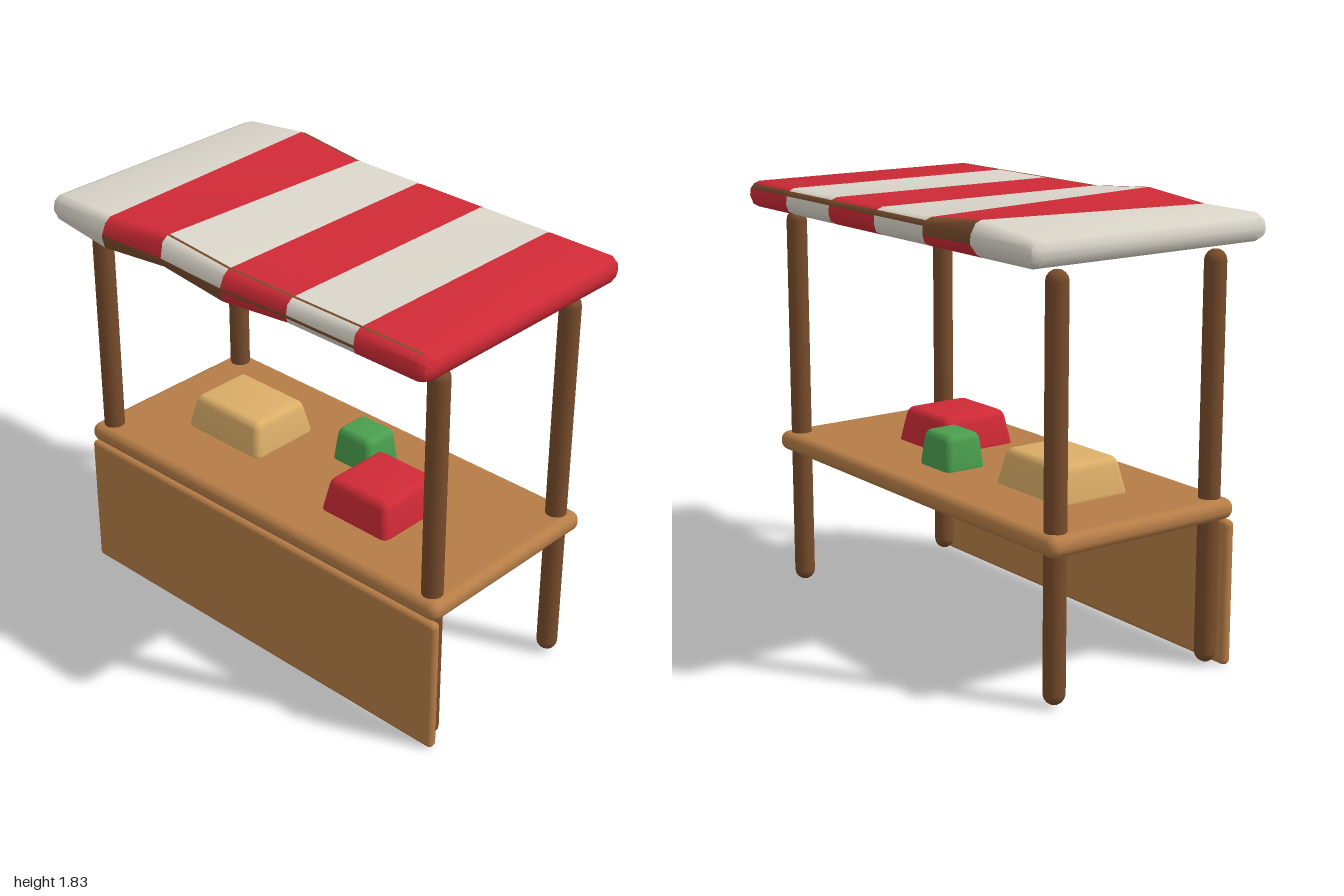
import * as THREE from 'three';
import { toCreasedNormals } from 'three/addons/utils/BufferGeometryUtils.js';
import { RoundedBoxGeometry } from 'three/addons/geometries/RoundedBoxGeometry.js';

const mat = (name, color) => {
  const m = new THREE.MeshStandardMaterial({ color });
  m.name = name;
  return m;
};

// Canopy cross-section as [z, y, corner]: running down the back, along the bottom, up the front
const PROFILE = [
  [-0.53, 1.8, 'topBack'], [-0.555, 1.79, 'topBack'], [-0.568, 1.77, 'midBack'],
  [-0.57, 1.735, 'midBack'], [-0.56, 1.705, ''], [-0.53, 1.69, ''],
  [0.53, 1.69, 'bottomFront'], [0.56, 1.705, 'bottomFront'], [0.57, 1.728, 'midFront'],
  [0.57, 1.74, 'midFront'], [0.562, 1.78, 'topFront'], [0.535, 1.8, 'topFront'], [0.522, 1.8, 'topFront'],
];

// Sag and lift of the cloth at each stripe seam, as [dz, dy] per corner
const SEAMS = [
  {},
  { topBack: [-0.01, 0.03], midBack: [-0.02, 0.01], bottomFront: [0.01, -0.028], midFront: [0.012, -0.005] },
  { topFront: [0, 0.029], midFront: [0.005, 0.004] },
  { bottomFront: [0.01, -0.028], midFront: [0.012, -0.004] },
  {}, {}, {},
];

// Profile segments where the timber frame shows, per stripe
const FRAME_SEGMENTS = [[], [0, 1, 2, 6, 7, 8], [1, 6, 7, 8, 11], [1, 8, 11], [1, 8, 11], [1, 11]];

function ring(x, seam, inset = 0) {
  return PROFILE.map(([z, y, corner]) => {
    const [dz, dy] = seam[corner] || [0, 0];
    const cy = 1.745;
    return [x, y + dy - (y - cy) / 0.055 * inset, z + dz - Math.sign(z) * inset];
  });
}

function canopyStripe(i, cloth, frame) {
  const x0 = -1 + i / 3, x1 = x0 + 1 / 3, r = 0.04;
  // Rounded outer ends on the first and last stripe
  const round = [0, 0.5, 1].map(t => t * Math.PI / 2);
  const end = (a, s) => ring(s * (1 - r + r * Math.sin(a)), {}, r * (1 - Math.cos(a)));
  const rings = [];
  if (i === 0) rings.push(...round.slice().reverse().map(a => end(a, -1)));
  else rings.push(ring(x0, SEAMS[i]));
  if (i === 5) rings.push(...round.map(a => end(a, 1)));
  else rings.push(ring(x1, SEAMS[i + 1]));

  const faces = [[], []], n = PROFILE.length;
  for (let k = 0; k < rings.length - 1; k++) {
    const A = rings[k], B = rings[k + 1];
    for (let j = 0; j < n; j++) {
      const m = (j + 1) % n;
      const isFrame = k === 0 && FRAME_SEGMENTS[i].includes(j);
      faces[isFrame ? 1 : 0].push(...A[j], ...B[j], ...B[m], ...A[j], ...B[m], ...A[m]);
    }
  }
  // End caps
  if (i === 0 || i === 5) {
    const R = i === 0 ? rings[0] : rings[rings.length - 1];
    const c = [R[0][0], 1.745, 0];
    for (let j = 0; j < n; j++) {
      const p = R[j], q = R[(j + 1) % n];
      faces[0].push(...c, ...(i === 0 ? p : q), ...(i === 0 ? q : p));
    }
  }
  const geo = new THREE.BufferGeometry();
  geo.setAttribute('position', new THREE.Float32BufferAttribute(faces.flat(), 3));
  geo.addGroup(0, faces[0].length / 3, 0);
  geo.addGroup(faces[0].length / 3, faces[1].length / 3, 1);
  const mesh = new THREE.Mesh(toCreasedNormals(geo, 0.8), [cloth, frame]);
  mesh.name = 'canopyStripe' + (i + 1);
  return mesh;
}

// Rounded block that narrows toward its top
function crateGeometry(w, h, d, inset) {
  const geo = new RoundedBoxGeometry(w, h, d, 3, 0.032);
  const p = geo.attributes.position;
  for (let i = 0; i < p.count; i++) {
    const t = p.getY(i) / h + 0.5;
    p.setX(i, p.getX(i) * (1 - 2 * inset * t / w));
    p.setZ(i, p.getZ(i) * (1 - 2 * inset * t / d));
  }
  return toCreasedNormals(geo, 0.6);
}

export function createModel() {
  const red = mat('red', 0xcf2a36);
  const white = mat('offWhite', 0xdbd6ca);
  const wood = mat('lightWood', 0xb67d47);
  const darkWood = mat('darkWood', 0x784c2b);
  const tan = mat('tan', 0xdcae68);
  const green = mat('green', 0x4a9f4e);

  const group = new THREE.Group();
  group.name = 'marketStall';
  const add = (name, geo, material, x, y, z) => {
    const mesh = new THREE.Mesh(geo, material);
    mesh.name = name;
    mesh.position.set(x, y, z);
    group.add(mesh);
  };

  // Striped canopy
  const canopy = new THREE.Group();
  canopy.name = 'canopy';
  for (let i = 0; i < 6; i++) canopy.add(canopyStripe(i, i % 2 ? red : white, darkWood));
  group.add(canopy);

  // Four posts with rounded ends
  const post = new THREE.CapsuleGeometry(0.044, 1.66 - 0.088, 4, 14);
  for (const sx of [-1, 1])
    for (const sz of [-1, 1])
      add((sz > 0 ? 'front' : 'back') + (sx > 0 ? 'Left' : 'Right') + 'Post', post, darkWood, sx * 0.908, 0.84, sz * 0.38);

  // Counter and its front panel
  add('counterTop', new RoundedBoxGeometry(1.97, 0.085, 0.91, 4, 0.04), wood, 0, 0.6475, 0);
  add('frontPanel', new RoundedBoxGeometry(1.966, 0.6, 0.046, 4, 0.022), wood, 0, 0.302, 0.431);

  // Goods on the counter
  add('tanGoods', crateGeometry(0.44, 0.17, 0.35, 0.035), tan, -0.457, 0.752, 0);
  add('greenGoods', crateGeometry(0.22, 0.17, 0.2, 0.02), green, 0.0725, 0.752, -0.157);
  add('redGoods', crateGeometry(0.365, 0.17, 0.37, 0.032), red, 0.3775, 0.752, 0.075);

  return group;
}
